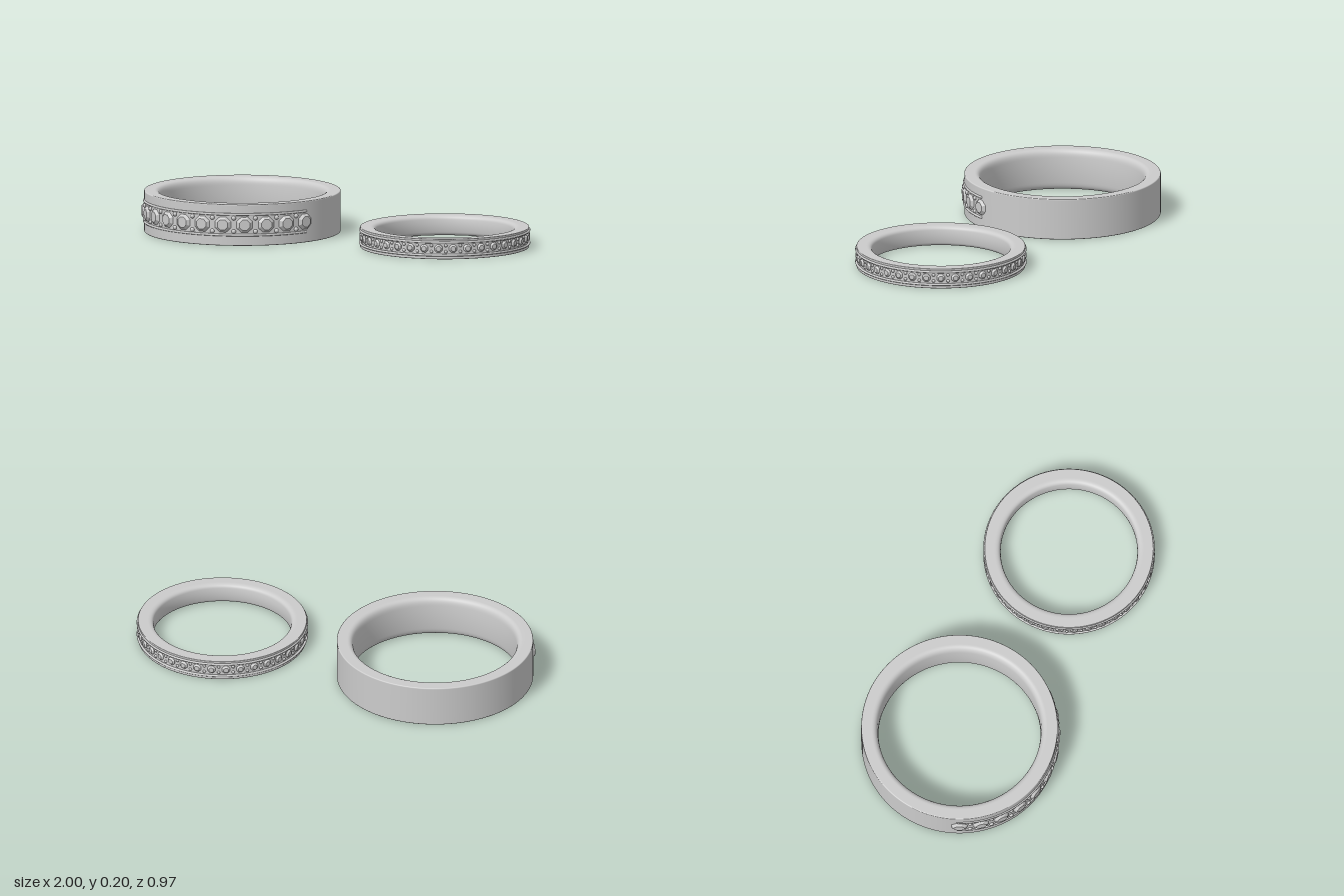
import * as THREE from 'three';

const material = new THREE.MeshStandardMaterial({ color: 0xcccccc, roughness: 0.5 });
const flatMaterial = new THREE.MeshStandardMaterial({ color: 0xcccccc, flatShading: true });

function addMesh(parent, name, geometry, mat = material) {
  const mesh = new THREE.Mesh(geometry, mat);
  mesh.name = name;
  parent.add(mesh);
  return mesh;
}

// Ring body: flat outside with an optional groove, rounded comfort fit inside
function bandGeometry(outer, inner, height, bevel, grooveDepth = 0, grooveHalf = 0) {
  const s = new THREE.Shape();
  const h = height / 2;
  const lip = inner + (outer - inner) * 0.4;
  const shoulder = h * 0.62;
  s.moveTo(lip, -h);
  s.lineTo(outer - bevel, -h);
  s.quadraticCurveTo(outer, -h, outer, -h + bevel);
  if (grooveDepth) {
    s.lineTo(outer, -grooveHalf);
    s.lineTo(outer - grooveDepth, -grooveHalf);
    s.lineTo(outer - grooveDepth, grooveHalf);
    s.lineTo(outer, grooveHalf);
  }
  s.lineTo(outer, h - bevel);
  s.quadraticCurveTo(outer, h, outer - bevel, h);
  s.lineTo(lip, h);
  s.quadraticCurveTo(inner + 0.006, h, inner + 0.003, shoulder);
  s.quadraticCurveTo(inner - 0.003, 0, inner + 0.003, -shoulder);
  s.quadraticCurveTo(inner + 0.006, -h, lip, -h);

  // Each profile edge is revolved separately where the corner is sharp
  const pts = s.getPoints(8);
  return new THREE.LatheGeometry(pts, 128);
}

// Bead wire following the ring, angle measured from the front
function arcRail(radius, tube, halfAngle) {
  const pts = [];
  for (let i = 0; i <= 24; i++) {
    const a = -halfAngle + (2 * halfAngle * i) / 24;
    pts.push(new THREE.Vector3(Math.sin(a) * radius, 0, Math.cos(a) * radius));
  }
  return new THREE.TubeGeometry(new THREE.CatmullRomCurve3(pts), 96, tube, 10);
}

// Faceted stone, table facing +z, girdle at z = 0
function gemGeometry(r, crown) {
  const profile = [[0, -r * 0.5], [r, -crown * 0.2], [r, 0], [r * 0.6, crown], [0, crown]];
  const g = new THREE.LatheGeometry(profile.map(p => new THREE.Vector2(...p)), 8);
  return g.rotateX(Math.PI / 2).rotateZ(Math.PI / 8);
}

function placeOnRing(mesh, angle, radius, y) {
  mesh.position.set(Math.sin(angle) * radius, y, Math.cos(angle) * radius);
  mesh.rotation.y = angle;
}

function createWideRing() {
  const ring = new THREE.Group();
  ring.name = 'wideRing';
  const R = 0.479, midY = 0.104, step = 0.222;
  addMesh(ring, 'wideBand', bandGeometry(R, 0.395, 0.204, 0.006)).position.y = 0.102;

  // Rails framing the front row of stones, with rounded ends
  const rail = arcRail(R, 0.006, 1.125);
  const cap = new THREE.SphereGeometry(0.006, 10, 8);
  for (const side of [-1, 1]) {
    const y = midY + side * 0.051;
    addMesh(ring, 'wideRail', rail).position.y = y;
    for (const end of [-1, 1]) placeOnRing(addMesh(ring, 'railEnd', cap), end * 1.125, R, y);
  }

  // Stones across the front with holding beads between them
  const gem = gemGeometry(0.046, 0.017);
  const bead = new THREE.SphereGeometry(0.011, 10, 8);
  for (let i = -5; i <= 5; i++) {
    placeOnRing(addMesh(ring, 'wideRingStone', gem, flatMaterial), i * step, R - 0.005, midY);
    if (i === 5) continue;
    for (const side of [-1, 1])
      placeOnRing(addMesh(ring, 'wideRingBead', bead), (i + 0.5) * step, R, midY + side * 0.033);
  }
  return ring;
}

function createNarrowRing() {
  const ring = new THREE.Group();
  ring.name = 'narrowRing';
  const R = 0.412, midY = 0.052, count = 36;
  addMesh(ring, 'narrowBand', bandGeometry(R, 0.333, 0.1, 0.004, 0.006, 0.026)).position.y = 0.05;

  // Rails around the whole ring
  const rail = new THREE.TorusGeometry(R, 0.006, 10, 128).rotateX(Math.PI / 2);
  for (const side of [-1, 1]) addMesh(ring, 'narrowRail', rail).position.y = midY + side * 0.032;

  // Full circle of stones and beads
  const gem = gemGeometry(0.021, 0.009);
  const bead = new THREE.SphereGeometry(0.008, 8, 6);
  for (let i = 0; i < count; i++) {
    const a = (i / count) * Math.PI * 2;
    placeOnRing(addMesh(ring, 'narrowRingStone', gem, flatMaterial), a, R - 0.005, midY);
    for (const side of [-1, 1])
      placeOnRing(addMesh(ring, 'narrowRingBead', bead), a + Math.PI / count, R - 0.005, midY + side * 0.015);
  }
  return ring;
}

export function createModel() {
  const model = new THREE.Group();
  model.name = 'ringPair';
  const wide = createWideRing();
  wide.position.set(-0.521, 0, -0.005);
  const narrow = createNarrowRing();
  narrow.position.set(0.581, 0, 0.042);
  model.add(wide, narrow);
  return model;
}
